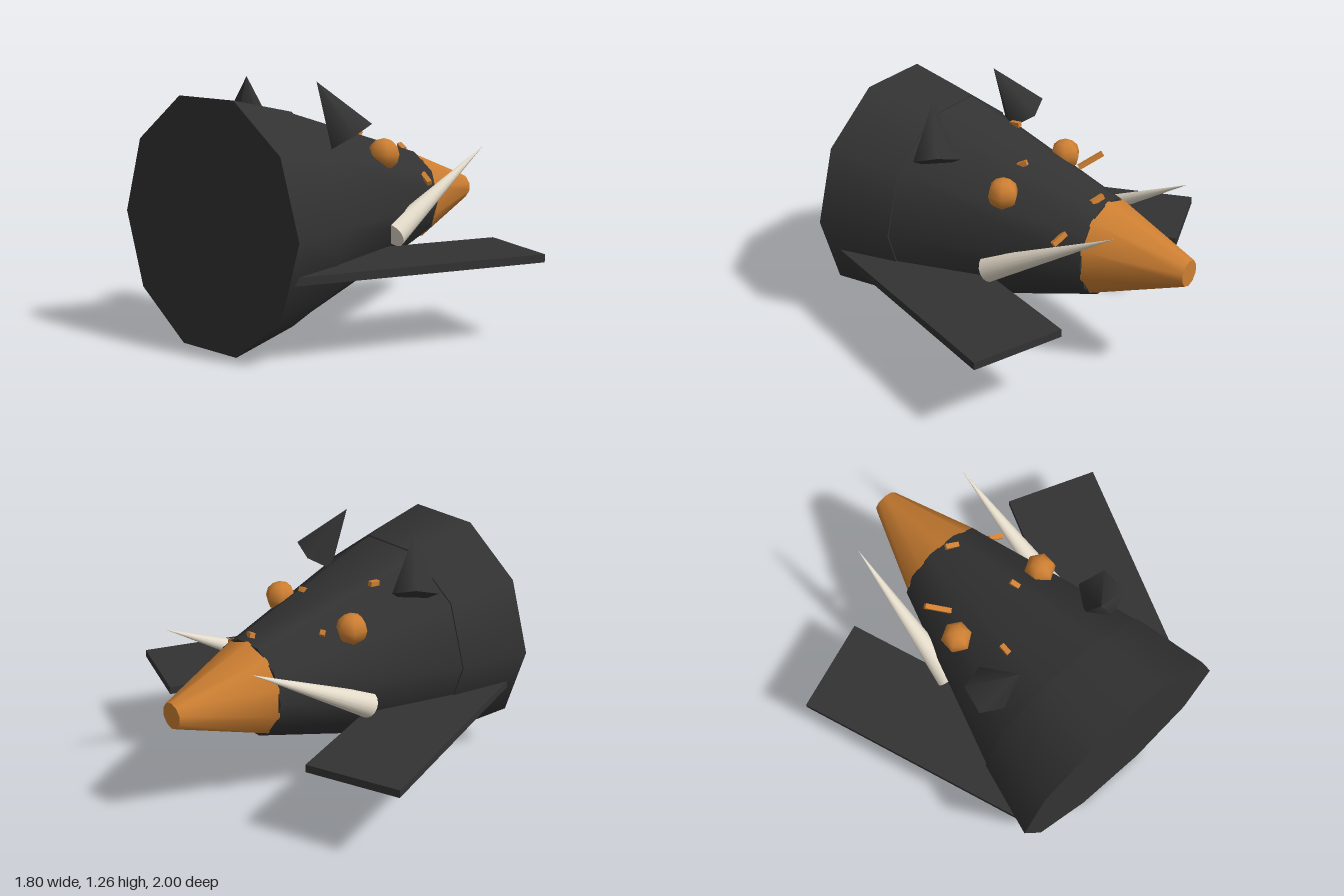
import * as THREE from 'three';

const DEG = Math.PI / 180;
const mat = (name, color) => {
  const m = new THREE.MeshStandardMaterial({ color });
  m.name = name;
  return m;
};

export function createModel() {
  const group = new THREE.Group();
  const charcoal = mat('charcoal', 0x333333);
  const bronze = mat('bronze', 0xcd7f32);
  const bone = mat('bone', 0xe3dac9);

  const add = (name, geometry, material, x, y, z) => {
    const mesh = new THREE.Mesh(geometry, material);
    mesh.name = name;
    mesh.position.set(x, y, z);
    group.add(mesh);
    return mesh;
  };

  // Ten-sided tapered section lying along x
  const section = (name, material, x0, r0, x1, r1, turn = 0) => {
    const g = new THREE.CylinderGeometry(r1, r0, x1 - x0, 10, 1, false, turn);
    add(name, g, material, (x0 + x1) / 2, 0.6, 0).rotation.z = -Math.PI / 2;
  };

  // Cone running from the centre of its base to its tip
  const cone = (name, material, base, tip, radius, sides, turn = 0) => {
    const a = new THREE.Vector3(...base), b = new THREE.Vector3(...tip);
    const dir = b.clone().sub(a), length = dir.length();
    const mid = a.add(b).multiplyScalar(0.5);
    const g = new THREE.ConeGeometry(radius, length, sides, 1, false, turn);
    add(name, g, material, mid.x, mid.y, mid.z)
      .quaternion.setFromUnitVectors(new THREE.Vector3(0, 1, 0), dir.normalize());
  };

  // Body and snout
  section('rearBody', charcoal, -0.9, 0.627, -0.52, 0.545);
  section('head', charcoal, -0.52, 0.538, 0.435, 0.249);
  section('snout', bronze, 0.43, 0.246, 0.9, 0.068, 18 * DEG);

  // Paired parts
  for (const s of [1, -1]) {
    const side = s > 0 ? 'front' : 'rear';

    add(side + 'Fin', new THREE.BoxGeometry(1.3, 0.04, 0.49), charcoal,
      -0.165, 0.41, s * 0.545).rotation.y = -s * 20.2 * DEG;

    cone(side + 'Ear', charcoal, [-0.33, 1.0, s * 0.37], [-0.435, 1.26, s * 0.25],
      0.12, 5, (s > 0 ? 41 : 139) * DEG);

    cone(side + 'Tusk', bone, [-0.03, 0.49, s * 0.365], [0.68, 0.87, s * 0.34], 0.066, 16);

    add(side + 'Eye', new THREE.SphereGeometry(0.08, 6, 6), bronze, 0, 0.88, s * 0.272);
  }

  // Small bronze studs scattered over the head: centre, direction, length
  const studs = [
    [[-0.24, 1.025, -0.17], [1, 0.1, 0], 0.055],
    [[0.17, 0.9, -0.25], [0.09, 0.07, -0.1], 0.14],
    [[-0.005, 0.97, 0.1], [0.05, 0.025, -0.02], 0.05],
    [[0.39, 0.86, 0.03], [0.025, 0.02, -0.06], 0.07],
    [[0.325, 0.725, 0.262], [0.025, 0.04, -0.075], 0.085],
  ];
  for (const [p, d, length] of studs) {
    add('stud', new THREE.BoxGeometry(length, 0.025, 0.025), bronze, ...p)
      .quaternion.setFromUnitVectors(new THREE.Vector3(1, 0, 0), new THREE.Vector3(...d).normalize());
  }

  return group;
}
